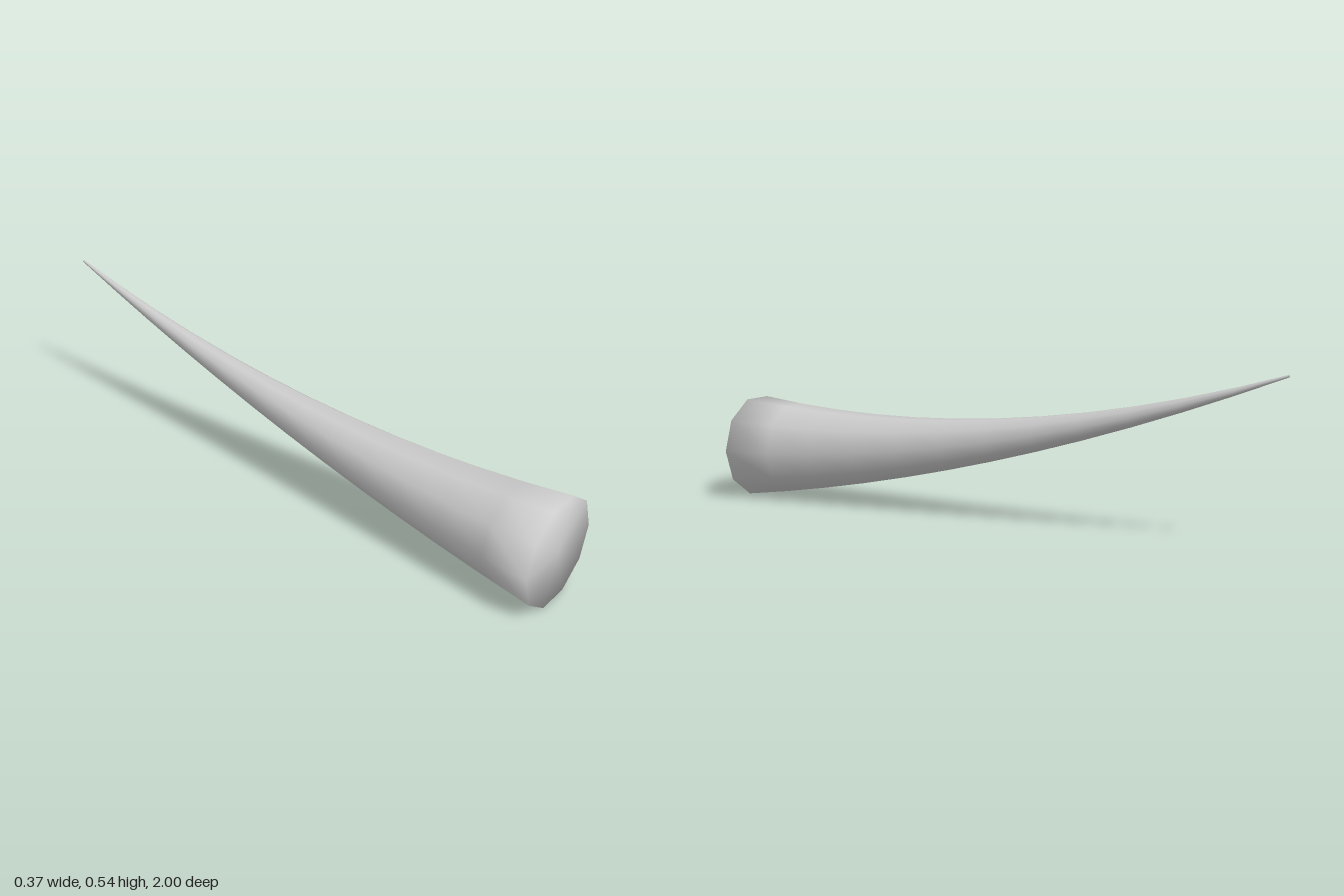
import * as THREE from 'three';
import { mergeVertices } from 'three/addons/utils/BufferGeometryUtils.js';

const SIDES = 10;
const SEGMENTS = 12;

// Taper and upward sweep along z (1 = thick front end, -1 = tip)
const radiusAt = (z) => 0.0735 + 0.0895 * z + 0.02 * z * z;
const centreAt = (z) => 0.27 - 0.181 * z + 0.087 * z * z;

export function createModel() {
  const group = new THREE.Group();
  group.name = 'horn';

  // Capped ten-sided tube along z, with corners at the left and right
  let geometry = new THREE.CylinderGeometry(1, 1, 2, SIDES, SEGMENTS, false, Math.PI / 2);
  geometry.rotateX(Math.PI / 2);

  // Taper each upright ring and lift it onto the curve
  const p = geometry.attributes.position;
  for (let i = 0; i < p.count; i++) {
    const z = p.getZ(i);
    const r = radiusAt(z);
    p.setXYZ(i, p.getX(i) * r, p.getY(i) * r + centreAt(z), z);
  }

  // Weld the seam and caps so shading is smooth all over
  geometry.deleteAttribute('uv');
  geometry.deleteAttribute('normal');
  geometry = mergeVertices(geometry, 1e-4);
  geometry.computeVertexNormals();

  const body = new THREE.Mesh(geometry, new THREE.MeshStandardMaterial({ color: 0xcccccc }));
  body.name = 'hornBody';
  group.add(body);
  return group;
}
